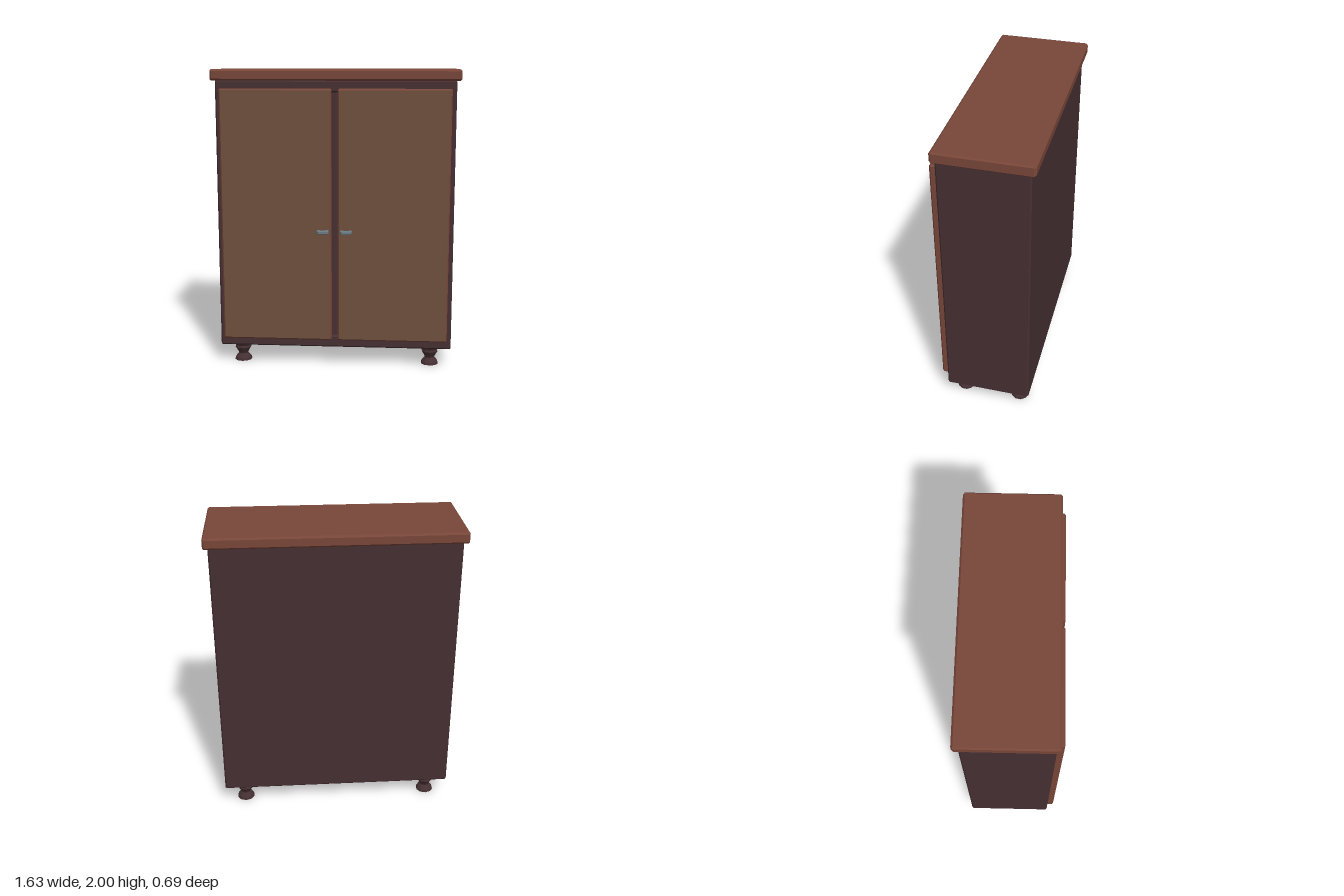
import * as THREE from 'three';

const mat = (name, color) => new THREE.MeshStandardMaterial({ name, color });

// rectangle with cut corners
function cutRect(target, x0, x1, y0, y1, c) {
  target.moveTo(x0 + c, y0);
  target.lineTo(x1 - c, y0);
  target.lineTo(x1, y0 + c);
  target.lineTo(x1, y1 - c);
  target.lineTo(x1 - c, y1);
  target.lineTo(x0 + c, y1);
  target.lineTo(x0, y1 - c);
  target.lineTo(x0, y0 + c);
  target.closePath();
  return target;
}

// box given by its limits, all edges chamfered by c; optional hole [x0, x1, y0, y1] along z
function chamferBox(x0, x1, y0, y1, z0, z1, c, hole) {
  const shape = cutRect(new THREE.Shape(), x0 + c, x1 - c, y0 + c, y1 - c, 0.002);
  if (hole) shape.holes.push(cutRect(new THREE.Path(), ...hole, 0.001));
  const geo = new THREE.ExtrudeGeometry(shape, {
    depth: z1 - z0 - 2 * c, bevelEnabled: true, bevelThickness: c, bevelSize: c, bevelSegments: 1,
  });
  return geo.translate(0, 0, z0 + c);
}

export function createModel() {
  const root = new THREE.Group();
  root.name = 'cabinet';
  const darkWood = mat('dark wood', 0x452f32);
  const redWood = mat('red wood', 0x784639);
  const panelWood = mat('panel wood', 0x6e503e);
  const metal = mat('handle metal', 0x6c7c84);

  const add = (name, geo, material, parent = root) => {
    const mesh = new THREE.Mesh(geo, material);
    mesh.name = name;
    parent.add(mesh);
    return mesh;
  };

  // carcass with a shallow recess behind the doors
  add('carcass', chamferBox(-0.786, 0.786, 0.127, 1.93, -0.315, 0.25, 0.01,
    [-0.73, 0.73, 0.2, 1.86]), darkWood);
  const core = add('innerPanel', new THREE.BoxGeometry(1.48, 1.68, 0.545), darkWood);
  core.position.set(0, 1.03, -0.0425);

  // overhanging top board
  add('topBoard', chamferBox(-0.815, 0.815, 1.927, 2, -0.345, 0.273, 0.012), redWood);

  // U-shaped pull with cut corners, drawn flat and extruded upward
  const pull = new THREE.Shape([
    [-0.036, 0], [-0.036, 0.03], [-0.026, 0.043], [0.026, 0.043], [0.036, 0.03], [0.036, 0],
    [0.02, 0], [0.02, 0.022], [-0.02, 0.022], [-0.02, 0],
  ].map(([x, y]) => new THREE.Vector2(x, y)));
  const pullGeo = new THREE.ExtrudeGeometry(pull, {
    depth: 0.014, bevelEnabled: true, bevelThickness: 0.004, bevelSize: 0.003, bevelSegments: 1,
  });
  pullGeo.translate(0, 0, -0.007).rotateX(Math.PI / 2);

  // doors: panel wood on the face, red wood around the edges
  for (const [side, s] of [['left', 1], ['right', -1]]) {
    const door = new THREE.Group();
    door.name = side + 'Door';
    root.add(door);
    const [x0, x1] = s > 0 ? [0.021, 0.755] : [-0.755, -0.021];
    add('doorLeaf', chamferBox(x0, x1, 0.19, 1.877, 0.245, 0.296, 0.01), [panelWood, redWood], door);
    add('handle', pullGeo, metal, door).position.set(s * 0.077, 0.942, 0.295);
  }

  // turned feet
  const profile = [
    [0, 0], [0.06, 0], [0.056, 0.016], [0.032, 0.045], [0.036, 0.055], [0.056, 0.09],
    [0.052, 0.105], [0.06, 0.12], [0.06, 0.135], [0, 0.135],
  ].map(([r, y]) => new THREE.Vector2(r, y));
  const footGeo = new THREE.LatheGeometry(profile, 10).toNonIndexed();
  footGeo.computeVertexNormals();
  for (const x of [-0.648, 0.648]) {
    for (const z of [-0.227, 0.162]) add('foot', footGeo, darkWood).position.set(x, 0, z);
  }
  return root;
}
